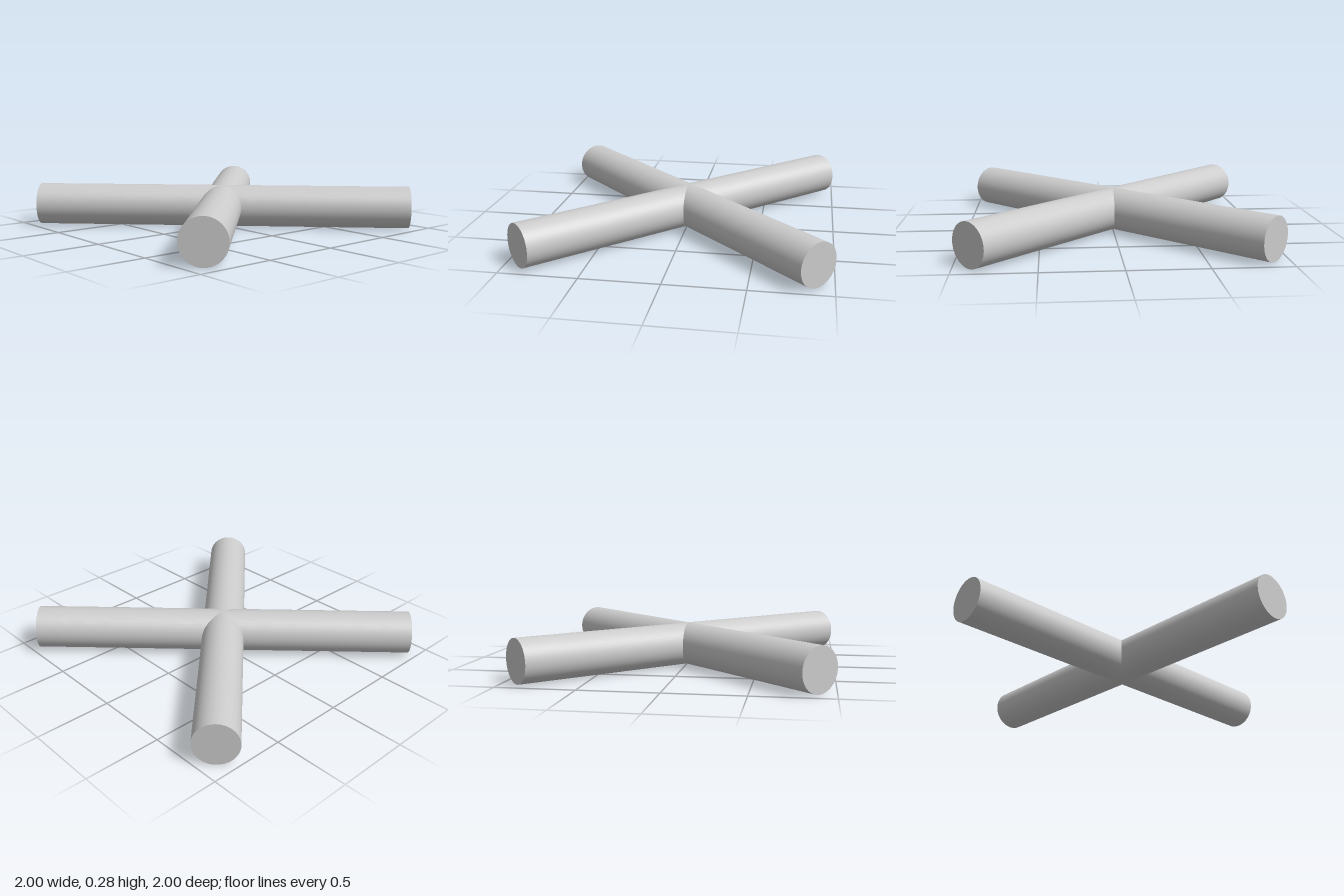
import * as THREE from 'three';

const RADIUS = 0.1 * Math.SQRT2;
const LENGTH = 1.8 * Math.SQRT2;

export function createModel() {
  const group = new THREE.Group();
  group.name = 'crossedRods';
  const material = new THREE.MeshStandardMaterial({ color: 0xcccccc });

  // One round rod lying along x, reused for both diagonals
  const rod = new THREE.CylinderGeometry(RADIUS, RADIUS, LENGTH, 64);
  rod.rotateZ(Math.PI / 2);

  for (const [name, angle] of [['risingRod', Math.PI / 4], ['fallingRod', -Math.PI / 4]]) {
    const mesh = new THREE.Mesh(rod, material);
    mesh.name = name;
    mesh.rotation.y = angle;
    mesh.position.y = RADIUS;
    group.add(mesh);
  }
  return group;
}
